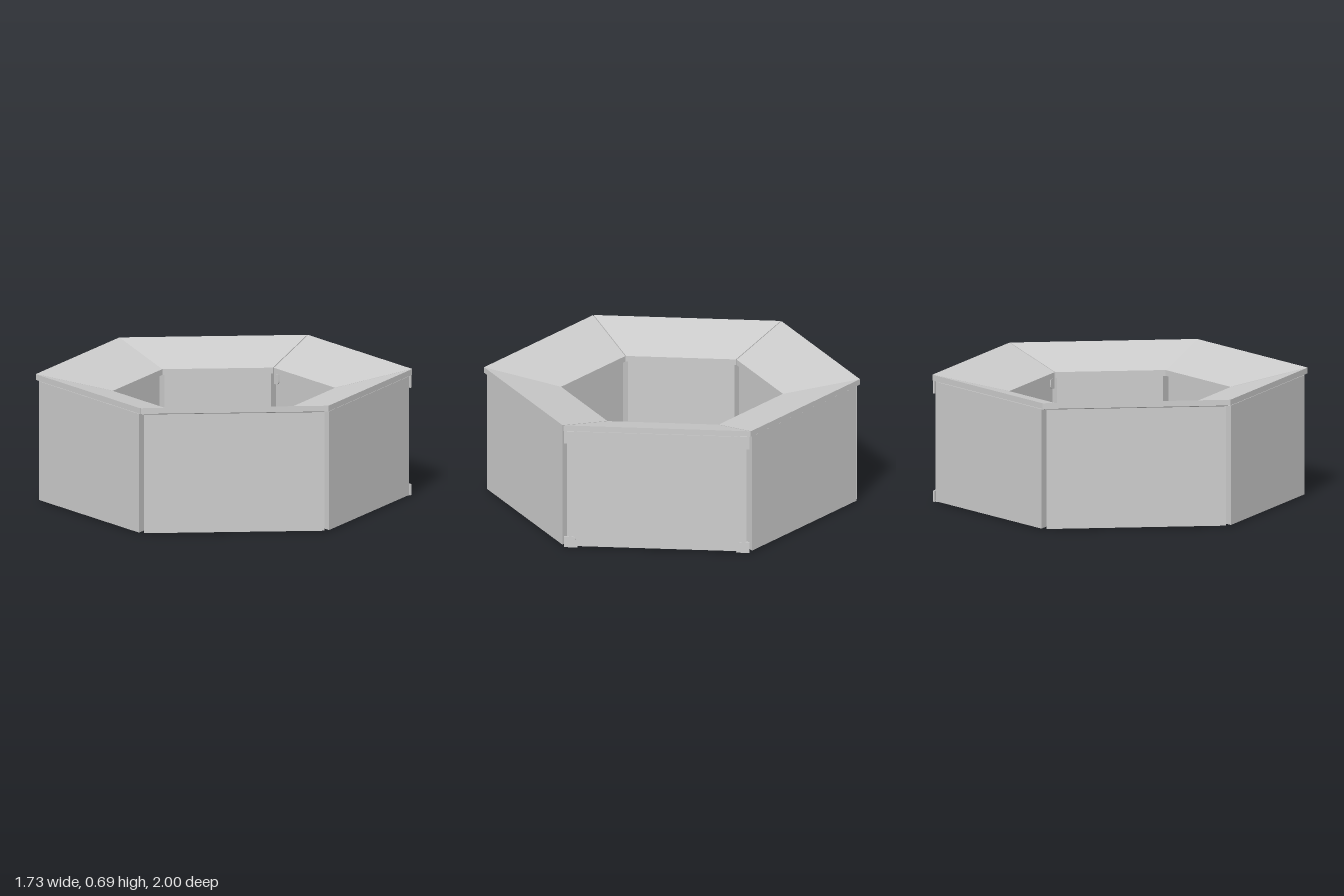
import * as THREE from 'three';

const material = new THREE.MeshStandardMaterial({ color: 0xcccccc, flatShading: true });
const TAN = Math.tan(Math.PI / 6);
const COS = Math.cos(Math.PI / 6);
const OUTER = 0.866;
const SLOPE = Math.tan(THREE.MathUtils.degToRad(15.2));

function addMesh(parent, name, geometry) {
  const mesh = new THREE.Mesh(geometry, material);
  mesh.name = name;
  parent.add(mesh);
  return mesh;
}

// Mitred trapezoid slab facing +z; gapL and gapR pull the ends back from the mitre planes
function segment(inner, outer, y0, y1, gapL, gapR) {
  const end = (r, gap) => r * TAN - gap / COS;
  const shape = new THREE.Shape([
    new THREE.Vector2(-end(outer, gapL), -outer),
    new THREE.Vector2(end(outer, gapR), -outer),
    new THREE.Vector2(end(inner, gapR), -inner),
    new THREE.Vector2(-end(inner, gapL), -inner),
  ]);
  const geometry = new THREE.ExtrudeGeometry(shape, { depth: y1 - y0, bevelEnabled: false })
    .rotateX(-Math.PI / 2).translate(0, y0, 0);
  // Everything above the floor slopes down towards the centre
  const pos = geometry.attributes.position;
  for (let i = 0; i < pos.count; i++) {
    if (pos.getY(i) > 0.1) pos.setY(i, pos.getY(i) - (OUTER - pos.getZ(i)) * SLOPE);
  }
  geometry.computeVertexNormals();
  return geometry;
}

// Small plate with one rounded corner; side mirrors it in x, up flips it in y
function clipPlate(side, up, x0, x1, y, height, z) {
  const r = 0.025;
  const far = y + up * height;
  const shape = new THREE.Shape();
  shape.moveTo(side * x1, y);
  shape.lineTo(side * x1, far);
  shape.lineTo(side * (x0 + r), far);
  shape.quadraticCurveTo(side * x0, far, side * x0, far - up * r);
  shape.lineTo(side * x0, y);
  return new THREE.ExtrudeGeometry(shape, { depth: 0.009, bevelEnabled: false, curveSegments: 4 })
    .translate(0, 0, z);
}

export function createModel() {
  const group = new THREE.Group();
  group.name = 'hexagonalCounter';

  // Six counter units, each a body with an overhanging worktop sloping inwards
  for (let i = 0; i < 6; i++) {
    const unit = new THREE.Group();
    unit.name = 'counterUnit';
    unit.rotation.y = Math.PI / 6 + i * Math.PI / 3;
    addMesh(unit, 'body', segment(0.52, 0.858, 0.006, 0.652, 0.015, 0.015));
    // Worktops touch at the front and back corners and leave a slit at the others
    const gapL = i === 0 || i === 3 ? 0 : 0.0025;
    const gapR = i === 2 || i === 5 ? 0 : 0.0025;
    addMesh(unit, 'worktop', segment(0.511, OUTER, 0.655, 0.686, gapL, gapR));

    // Joining clips on the left unit
    if (i === 1) {
      for (const side of [-1, 1]) {
        addMesh(unit, 'upperClip', clipPlate(side, -1, 0.43, 0.493, 0.653, 0.07, 0.855));
        addMesh(unit, 'lowerClip', clipPlate(side, 1, 0.43, 0.493, 0, 0.06, 0.855));
        addMesh(unit, 'upperInnerClip', clipPlate(side, -1, 0.25, 0.293, 0.557, 0.055, 0.513));
        addMesh(unit, 'middleInnerClip', clipPlate(side, 1, 0.25, 0.293, 0.28, 0.06, 0.513));
        addMesh(unit, 'clipFoot', new THREE.BoxGeometry(0.065, 0.006, 0.042))
          .position.set(side * 0.455, 0.003, 0.841);
      }
    }
    group.add(unit);
  }

  // Thin square plate floating in the middle
  const plate = addMesh(group, 'centrePlate',
    new THREE.PlaneGeometry(0.244, 0.244).rotateX(-Math.PI / 2));
  plate.material = material.clone();
  plate.material.side = THREE.DoubleSide;
  plate.position.set(0, 0.342, 0);
  plate.rotation.y = Math.PI / 6;

  return group;
}
